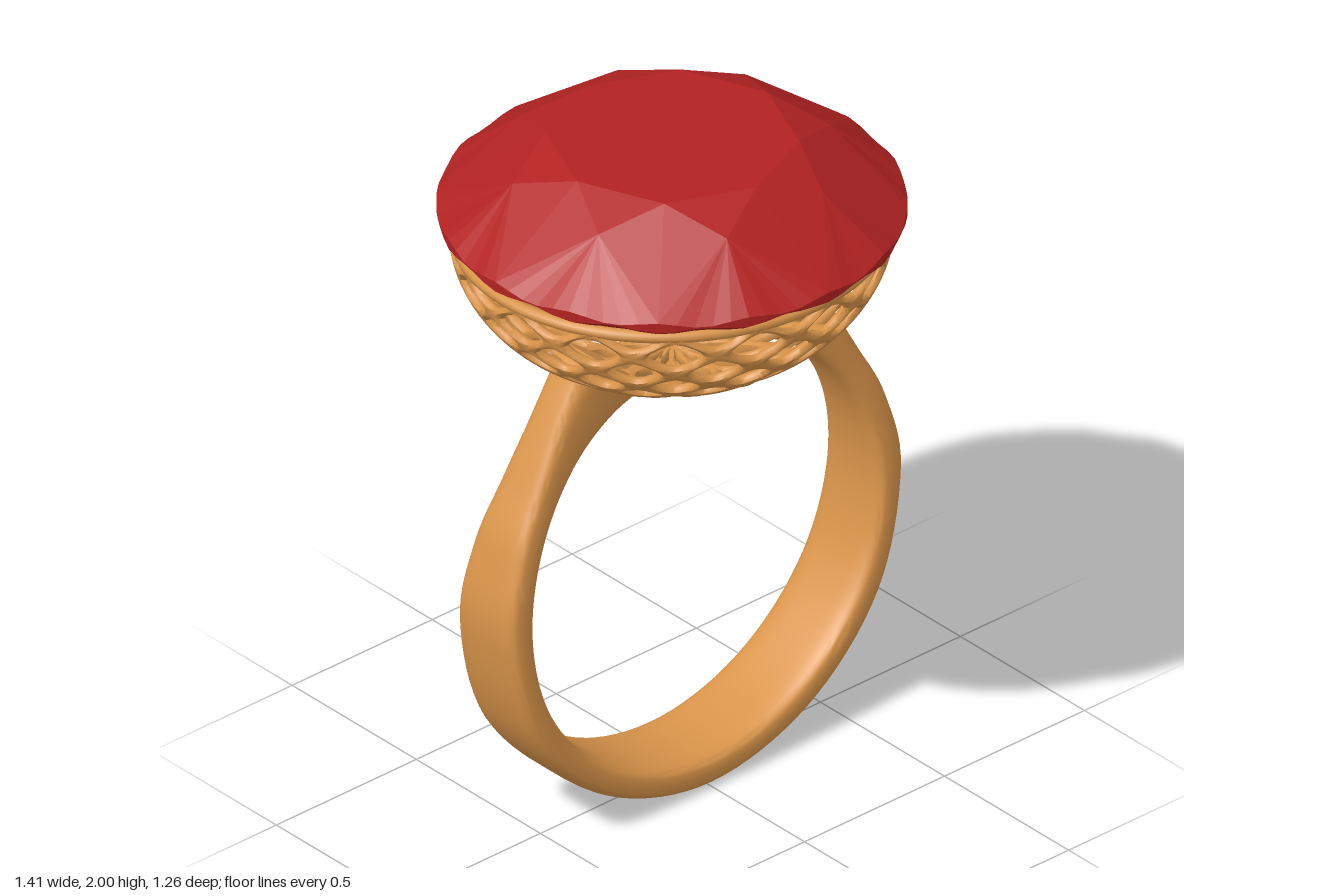
import * as THREE from 'three';
import { toCreasedNormals } from 'three/addons/utils/BufferGeometryUtils.js';

const GOLD = new THREE.MeshStandardMaterial({ color: 0xd9944a });
const RED = new THREE.MeshStandardMaterial({ color: 0xb22222 });
const HEAD_X = -0.03; // the setting sits slightly off the band's axis

const V = (x, y, z) => new THREE.Vector3(x, y, z);
const polar = (r, angle, y) => V(r * Math.cos(angle), y, r * Math.sin(angle));

function fromTriangles(points) {
  return new THREE.BufferGeometry().setFromPoints(points);
}

function addMesh(parent, name, geometry, material) {
  const mesh = new THREE.Mesh(geometry, material);
  mesh.name = name;
  parent.add(mesh);
  return mesh;
}

// Round brilliant cut: crown and pavilion share one facet layout
function gemGeometry() {
  const tris = [];
  const centre = V(0, 1.75, 0);
  const tri = (a, b, c) => {
    const n = b.clone().sub(a).cross(c.clone().sub(a));
    const out = a.clone().add(b).add(c).divideScalar(3).sub(centre);
    if (n.lengthSq() < 1e-14) return;
    tris.push(...(n.dot(out) > 0 ? [a, b, c] : [a, c, b]));
  };
  const step = Math.PI / 8, arcs = 5;
  const upper = (t) => polar(0.63, t, 1.795 + 0.007 * Math.cos(16 * t));
  const lower = (t) => polar(0.63, t, 1.779 - 0.007 * Math.cos(16 * t));

  function half(endR, endY, midR, midY, edge) {
    const end = V(0, endY, 0);
    for (let i = 0; i < 8; i++) {
      const t = i * 2 * step;
      const p = polar(endR, t, endY), q = polar(endR, t + 2 * step, endY);
      const m0 = polar(midR, t - step, midY), m1 = polar(midR, t + step, midY);
      tri(end, p, q);            // table
      tri(p, m1, q);             // star
      tri(p, m0, edge(t));       // kite
      tri(p, edge(t), m1);
      for (let k = 0; k < 2 * arcs; k++) { // girdle facets
        tri(m1, edge(t + (k * step) / arcs), edge(t + ((k + 1) * step) / arcs));
      }
    }
  }
  half(0.34, 2.0, 0.45, 1.944, upper);
  half(0, 1.345, 0.16, 1.447, lower);

  // Thin girdle between crown and pavilion
  for (let k = 0; k < 16 * arcs; k++) {
    const a = (k * step) / arcs, b = ((k + 1) * step) / arcs;
    tri(upper(a), upper(b), lower(b));
    tri(upper(a), lower(b), lower(a));
  }
  const geometry = fromTriangles(tris);
  geometry.computeVertexNormals();
  return geometry;
}

// Point on the bowl: u in columns, v in rows from the rim down
const COLS = 16, ROWS = 9, RIM_Y = 1.73;
function bowlPoint(u, v, offset) {
  const a = (Math.max(v, 0) / ROWS) * Math.PI / 2;
  const theta = (u / COLS) * Math.PI * 2;
  return polar((0.594 + offset) * Math.cos(a), theta, RIM_Y - (0.395 + offset) * Math.sin(a));
}

// Openwork bowl: staggered diamond cells, each with a rounded bevelled hole
function latticeGeometry() {
  const tris = [], sides = 24;
  for (let row = 0; row < ROWS; row++) {
    const k = 0.67 - 0.02 * row;
    const layers = [[0, 0.016], [k * 1.12, 0.012], [k, 0], [k * 1.12, -0.012], [0, -0.016]];
    for (let col = 0; col < COLS; col++) {
      const rings = layers.map(([size, offset]) => {
        const ring = [];
        for (let i = 0; i < sides; i++) {
          const t = (i / sides) * Math.PI * 2, c = Math.cos(t), s = Math.sin(t);
          const power = size ? 1.4 : 1;
          const r = (size || 1) * (Math.abs(c) ** power + Math.abs(s) ** power) ** (-1 / power);
          ring.push(bowlPoint(col + (row % 2) / 2 + 0.25 + 0.5 * r * c, row + r * s, offset));
        }
        return ring;
      });
      for (let j = 0; j < rings.length - 1; j++) {
        for (let i = 0; i < sides; i++) {
          const n = (i + 1) % sides, a = rings[j], b = rings[j + 1];
          tris.push(a[i], a[n], b[n], a[i], b[n], b[i]);
        }
      }
    }
  }
  return toCreasedNormals(fromTriangles(tris), 0.9);
}

// Band: rounded section swept round the finger, flaring into two shoulders
function bandGeometry() {
  // [angle from bottom, outer x, outer y, half width]
  const right = [
    [30, 0.352, 0.1, 0.133], [60, 0.61, 0.358, 0.128], [90, 0.705, 0.71, 0.117],
    [110, 0.662, 0.951, 0.1], [125, 0.58, 1.12, 0.082], [140, 0.49, 1.29, 0.07],
    [152, 0.43, 1.395, 0.07], [160, 0.4, 1.44, 0.078], [166, 0.35, 1.455, 0.088],
  ];
  const left = right.map(([a, x, y, w]) => [-a, -x, y, w]).reverse();
  const stations = [...left, [0, 0, 0, 0.135], ...right];
  const curve = (f) => new THREE.CatmullRomCurve3(stations.map(f), false, 'catmullrom', 0.5);
  const outer = curve(([, x, y, w]) => V(x, y, w));
  const angle = curve(([a]) => V(a, 0, 0));

  const steps = 144, sides = 32, sections = [];
  const soft = (x) => Math.sign(x) * Math.sqrt(Math.abs(x));
  for (let i = 0; i <= steps; i++) {
    const o = outer.getPoint(i / steps), width = o.z;
    const phi = THREE.MathUtils.degToRad(angle.getPoint(i / steps).x);
    const inner = V(0.61 * Math.sin(phi), 0.71 - 0.61 * Math.cos(phi), 0);
    o.z = 0;
    const ring = [];
    for (let k = 0; k < sides; k++) {
      const t = (k / sides) * Math.PI * 2;
      const p = inner.clone().lerp(o, 0.5 + 0.5 * soft(Math.cos(t)));
      p.z = width * soft(Math.sin(t));
      ring.push(p);
    }
    ring.centre = inner.clone().lerp(o, 0.5);
    sections.push(ring);
  }
  const tris = [], first = sections[0], last = sections[steps];
  for (let k = 0; k < sides; k++) {
    const n = (k + 1) % sides;
    for (let i = 0; i < steps; i++) {
      const a = sections[i], b = sections[i + 1];
      tris.push(a[k], b[k], b[n], a[k], b[n], a[n]);
    }
    tris.push(first.centre, first[k], first[n], last.centre, last[n], last[k]);
  }
  return toCreasedNormals(fromTriangles(tris), 0.9);
}

export function createModel() {
  const model = new THREE.Group();
  model.name = 'ring';
  addMesh(model, 'band', bandGeometry(), GOLD);

  // Setting: lattice bowl, rim wire and closed bottom
  const setting = new THREE.Group();
  setting.name = 'setting';
  setting.position.x = HEAD_X;
  setting.scale.z = 0.955;
  model.add(setting);
  addMesh(setting, 'latticeBowl', latticeGeometry(), GOLD);
  const rim = addMesh(setting, 'rim', new THREE.TorusGeometry(0.594, 0.018, 10, 96), GOLD);
  rim.rotation.x = Math.PI / 2;
  rim.position.y = RIM_Y;
  const profile = [9, 8.7, 8.4, 8].map((v) => {
    const p = bowlPoint(0, v, 0.012);
    return new THREE.Vector2(Math.max(p.x, 0), p.y);
  });
  const base = addMesh(setting, 'bowlBase', new THREE.LatheGeometry(profile, 32), GOLD.clone());
  base.material.side = THREE.DoubleSide;

  addMesh(model, 'gemstone', gemGeometry(), RED).position.x = HEAD_X;
  return model;
}
